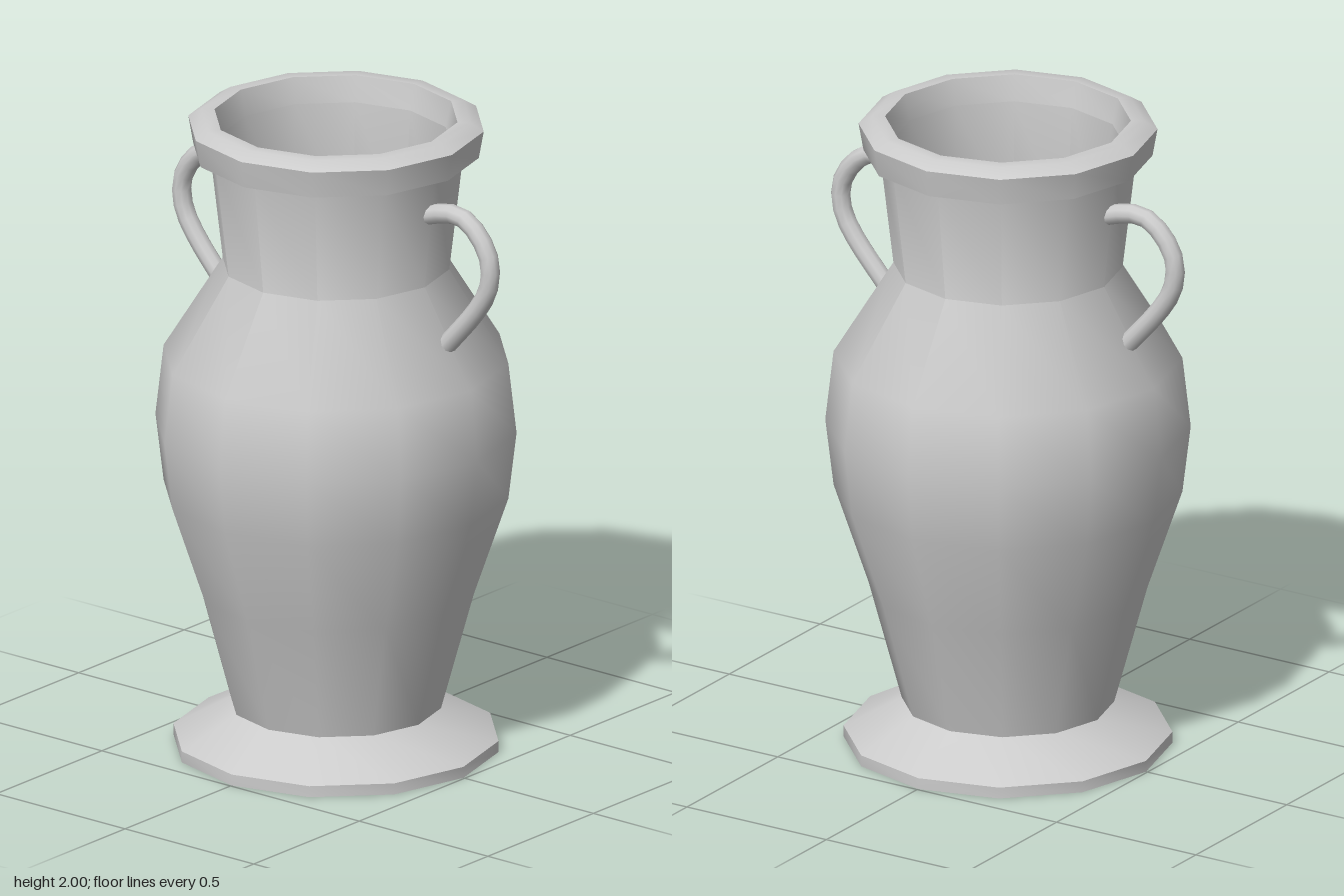
import * as THREE from 'three';
import { toCreasedNormals } from 'three/addons/utils/BufferGeometryUtils.js';

const SIDES = 12;
const material = new THREE.MeshStandardMaterial({ color: 0xcccccc });

// Twelve-sided turned part; the profile runs up the outside, then down the inside
function turned(name, profile) {
  const points = profile.map(([r, y]) => new THREE.Vector2(r, y));
  const geometry = toCreasedNormals(new THREE.LatheGeometry(points, SIDES), 0.72);
  const mesh = new THREE.Mesh(geometry, material);
  mesh.name = name;
  return mesh;
}

// Curved handle from neck to shoulder, on the side given by sign; ends sink into the wall
function handle(name, sign) {
  const path = [
    [0.36, 1.765], [0.43, 1.785], [0.49, 1.785], [0.555, 1.74],
    [0.597, 1.665], [0.592, 1.58], [0.55, 1.505], [0.425, 1.36],
  ].map(([x, y]) => new THREE.Vector3(sign * x, y, 0));
  const curve = new THREE.CatmullRomCurve3(path, false, 'centripetal');
  const mesh = new THREE.Mesh(new THREE.TubeGeometry(curve, 14, 0.03, 10), material);
  mesh.name = name;
  return mesh;
}

export function createModel() {
  const vase = new THREE.Group();
  vase.name = 'vase';

  // Flared foot with a flat underside
  vase.add(turned('foot', [[0, 0], [0.495, 0], [0.495, 0.035], [0.32, 0.13]]));

  // Outer wall from foot to neck
  vase.add(turned('body', [
    [0.32, 0.13], [0.42, 0.5], [0.525, 0.81], [0.55, 1.02],
    [0.525, 1.24], [0.345, 1.53], [0.388, 1.9],
  ]));

  // Bevelled lip
  vase.add(turned('rim', [
    [0.385, 1.89], [0.435, 1.89], [0.45, 1.975], [0.41, 2], [0.37, 2], [0.352, 1.92],
  ]));

  // Hollow inside, down to the floor
  vase.add(turned('interior', [
    [0.352, 1.92], [0.32, 1.53], [0.5, 1.24], [0.525, 1.02],
    [0.5, 0.81], [0.395, 0.5], [0.3, 0.14], [0, 0.14],
  ]));

  vase.add(handle('leftHandle', 1), handle('rightHandle', -1));
  return vase;
}
